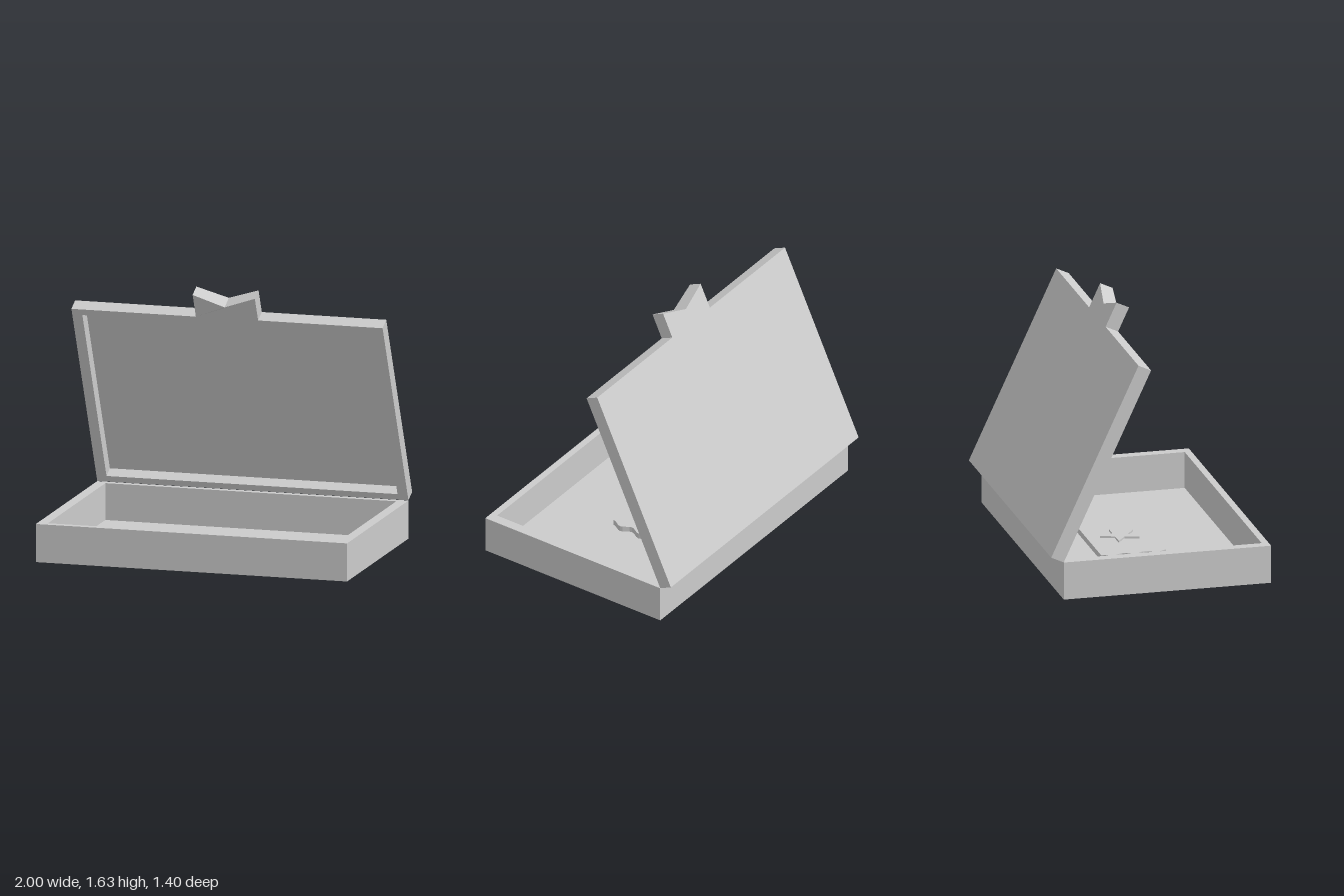
import * as THREE from 'three';

const material = new THREE.MeshStandardMaterial({ color: 0xcccccc, flatShading: true });
const LENGTH = 1.32, LID = 0.088, PANEL = 0.008;

function extruded(name, shape, depth, z = 0) {
  const geometry = new THREE.ExtrudeGeometry(shape, { depth, bevelEnabled: false });
  geometry.translate(0, 0, z);
  const mesh = new THREE.Mesh(geometry, material);
  mesh.name = name;
  return mesh;
}

function rectangle(x, y0, y1) {
  return [[-x, y0], [x, y0], [x, y1], [-x, y1]].map(p => new THREE.Vector2(...p));
}

// Shallow open tray: thin panel at z = 0 with a rim rising towards +z
function tray(name, height) {
  const group = new THREE.Group();
  group.name = name;
  const rim = new THREE.Shape(rectangle(1, 0, LENGTH));
  rim.holes.push(new THREE.Path(rectangle(0.935, 0.043, LENGTH - 0.043)));
  group.add(extruded(name + 'Rim', rim, height - PANEL, PANEL));
  group.add(extruded(name + 'Panel', new THREE.Shape(rectangle(1, 0, LENGTH)), PANEL));
  return group;
}

// Ticket outline with three scallops on each short edge
function ticketShape() {
  const points = [], steps = 24, half = 0.208;
  for (const side of [1, -1]) {
    for (let i = 0; i <= steps; i++) {
      const t = i / steps;
      const x = 0.343 - 0.016 * Math.cos(t * 3 * Math.PI * 2);
      points.push(new THREE.Vector2(side * x, side * half * (2 * t - 1)));
    }
  }
  return new THREE.Shape(points);
}

function starShape(outer, inner) {
  const points = [];
  for (let i = 0; i < 10; i++) {
    const r = i % 2 ? inner : outer, a = Math.PI / 2 + i * Math.PI / 5;
    points.push(new THREE.Vector2(r * Math.cos(a), r * Math.sin(a)));
  }
  return new THREE.Shape(points);
}

// Tab with a V notch, its front bulging slightly at the notch
function claspMesh() {
  const notch = 0.094, tip = 0.166;
  const shape = new THREE.Shape([[-0.2, 0], [0.2, 0], [0.2, tip], [0, notch], [-0.2, tip]]
    .map(p => new THREE.Vector2(...p)));
  const mesh = extruded('clasp', shape, LID);
  const p = mesh.geometry.attributes.position;
  for (let i = 0; i < p.count; i++) {
    if (Math.abs(p.getX(i)) < 0.01 && p.getZ(i) > LID / 2) p.setZ(i, LID + 0.012);
  }
  mesh.geometry.computeVertexNormals();
  mesh.position.y = LENGTH;
  return mesh;
}

export function createModel() {
  const model = new THREE.Group();
  model.name = 'openBox';

  // Base tray lying flat, with the ticket and star on its floor
  const base = tray('base', 0.24);
  base.rotation.x = -Math.PI / 2;
  base.position.z = 0.7;
  const ticket = extruded('ticket', ticketShape(), 0.036, PANEL);
  const star = extruded('star', starShape(0.128, 0.05), 0.012, PANEL + 0.036);
  ticket.position.y = star.position.y = 0.7;
  base.add(ticket, star);

  // Lid leaning forward from the rear hinge edge
  const lid = tray('lid', LID);
  lid.add(claspMesh());
  for (const part of lid.children) part.position.z -= LID;
  lid.rotation.x = THREE.MathUtils.degToRad(24.9);
  lid.position.set(0, 0.241, -0.62);

  model.add(base, lid);
  return model;
}
